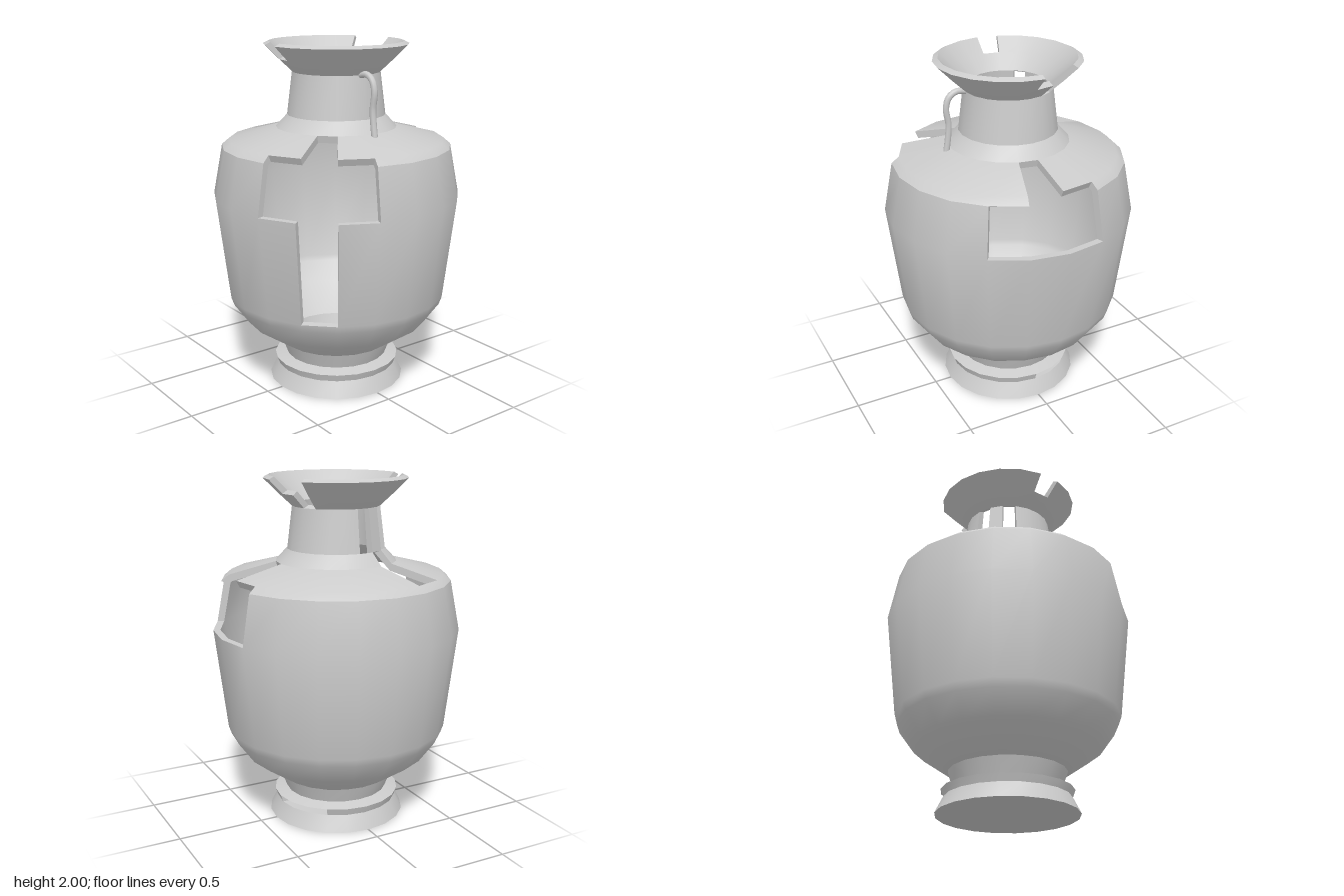
import * as THREE from 'three';
import { toCreasedNormals } from 'three/addons/utils/BufferGeometryUtils.js';

const SIDES = 20;

// Wall profile from foot to rim: [outer radius, outer y, inner radius, inner y]
const PROFILE = [
  [0.40, 0, 0.36, 0.03],
  [0.355, 0.09, 0.315, 0.09],
  [0.37, 0.132, 0.30, 0.125],
  [0.30, 0.15, 0.262, 0.155],
  [0.333, 0.238, 0.293, 0.252],
  [0.534, 0.376, 0.505, 0.405],
  [0.624, 0.50, 0.585, 0.515],
  [0.64, 0.545, 0.60, 0.55],
  [0.71, 1.132, 0.67, 1.132],
  [0.656, 1.415, 0.618, 1.395],
  [0.614, 1.45, 0.595, 1.412],
  [0.345, 1.52, 0.335, 1.48],
  [0.28, 1.59, 0.24, 1.575],
  [0.25, 1.83, 0.215, 1.845],
  [0.33, 1.905, 0.30, 1.925],
  [0.41, 1.985, 0.38, 2.0],
];

// Broken-out pieces: profile band -> missing segments, counted from the front towards +x
const MISSING = {
  1: [5, 6, 7],             // foot chip
  7: [17],                  // slot down the belly
  8: [3, 4, 5, 16, 17, 18], // upper belly
  9: [4, 5, 16, 17, 18],    // shoulder bevel
  10: [4, 11, 17],          // shoulder
  11: [11],                 // base of the neck
  12: [10, 12],             // neck slots
  13: [6],                  // lower rim
  14: [5, 6, 14],           // upper rim
};

// A thick turned wall in which whole cells can be left out
function brokenWall() {
  const positions = [];
  const bands = PROFILE.length - 1;
  const point = (k, j, inner) => {
    const a = (k % SIDES) * Math.PI * 2 / SIDES;
    const [r, y] = PROFILE[j].slice(inner ? 2 : 0);
    return [r * Math.sin(a), y, r * Math.cos(a)];
  };
  const quad = (a, b, c, d) => positions.push(...a, ...b, ...c, ...a, ...c, ...d);
  const present = (k, j) => j >= 0 && j < bands &&
    !(MISSING[j] || []).includes((k + SIDES) % SIDES);

  for (let j = 0; j < bands; j++) {
    for (let k = 0; k < SIDES; k++) {
      if (!present(k, j)) continue;
      const [a, b, c, d] = [[k, j], [k + 1, j], [k + 1, j + 1], [k, j + 1]].map(p => point(...p, false));
      const [e, f, g, h] = [[k, j], [k + 1, j], [k + 1, j + 1], [k, j + 1]].map(p => point(...p, true));
      quad(a, b, c, d);
      quad(f, e, h, g);
      // broken edges next to missing cells, and the rim top
      if (!present(k - 1, j)) quad(a, d, h, e);
      if (!present(k + 1, j)) quad(b, f, g, c);
      if (!present(k, j + 1)) quad(d, c, g, h);
      if (j > 0 && !present(k, j - 1)) quad(a, e, f, b);
    }
  }
  const geometry = new THREE.BufferGeometry();
  geometry.setAttribute('position', new THREE.Float32BufferAttribute(positions, 3));
  return toCreasedNormals(geometry, 0.55);
}

export function createModel() {
  const model = new THREE.Group();
  model.name = 'brokenVase';
  const material = new THREE.MeshStandardMaterial({ color: 0xcccccc });
  const add = (name, geometry) => {
    const mesh = new THREE.Mesh(geometry, material);
    mesh.name = name;
    model.add(mesh);
    return mesh;
  };

  add('vaseWall', brokenWall());

  // Underside and inner floor
  add('underside', new THREE.CircleGeometry(0.40, SIDES).rotateX(Math.PI / 2));
  add('innerFloor', new THREE.CircleGeometry(0.36, SIDES).rotateX(-Math.PI / 2).translate(0, 0.03, 0));

  // Slim handle from neck to shoulder, [z, y]
  const path = [
    [0.235, 1.83], [0.30, 1.838], [0.345, 1.81], [0.364, 1.75],
    [0.352, 1.66], [0.358, 1.58], [0.37, 1.505],
  ].map(([z, y]) => new THREE.Vector3(-0.018, y, z));
  add('handle', new THREE.TubeGeometry(new THREE.CatmullRomCurve3(path), 20, 0.018, 8));

  return model;
}
